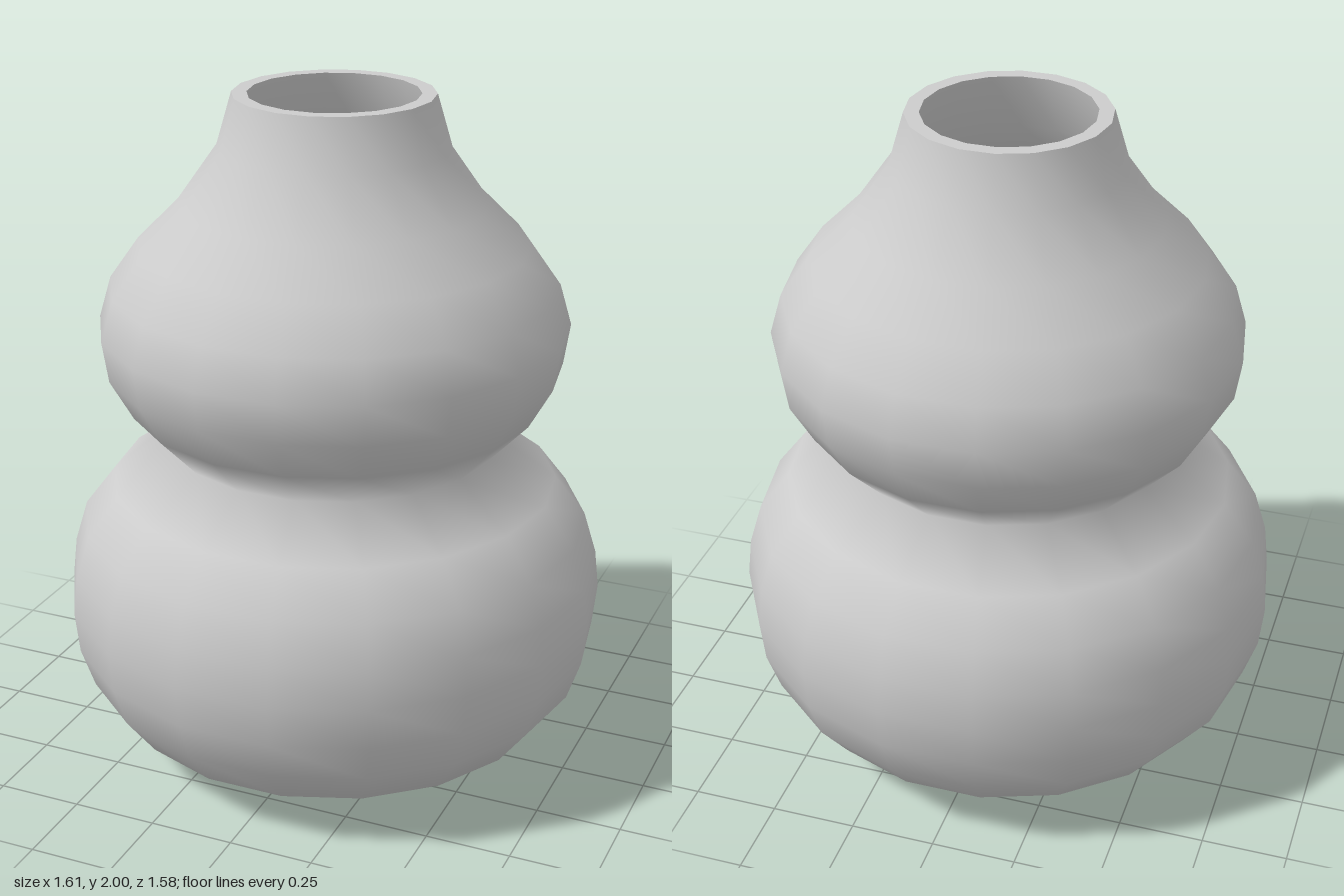
import * as THREE from 'three';

const SIDES = 18;

// Outer silhouette, foot to lip: [radius, height]
const OUTER = [
  [0.46, 0], [0.66, 0.125], [0.75, 0.245], [0.79, 0.365], [0.803, 0.49],
  [0.79, 0.605], [0.752, 0.73], [0.66, 0.85], [0.487, 0.97], [0.6, 1.09],
  [0.667, 1.21], [0.685, 1.33], [0.65, 1.45], [0.565, 1.57], [0.445, 1.69],
  [0.332, 1.85], [0.288, 2],
];
const WALL = 0.045;
const LIP = 0.245;

export function createModel() {
  const group = new THREE.Group();
  const material = new THREE.MeshStandardMaterial({ color: 0xcccccc });

  // Each profile is lathed on its own so edges between parts stay sharp
  const lathe = (name, profile) => {
    const points = profile.map(([r, y]) => new THREE.Vector2(r, y));
    const geometry = new THREE.LatheGeometry(points, SIDES, Math.PI / 2);
    const mesh = new THREE.Mesh(geometry, material);
    mesh.name = name;
    group.add(mesh);
  };

  // Inner wall: the outer profile moved inwards, running from lip to floor
  const inner = OUTER.map(([r, y], i) => {
    if (i === 0) return [r - 0.02, WALL];
    if (i === OUTER.length - 1) return [LIP, y];
    const [r0, y0] = OUTER[i - 1];
    const [r1, y1] = OUTER[i + 1];
    const length = Math.hypot(r1 - r0, y1 - y0);
    return [r - (WALL * (y1 - y0)) / length, y + (WALL * (r1 - r0)) / length];
  }).reverse();
  const floorRadius = inner[inner.length - 1][0];

  lathe('base', [[0, 0], OUTER[0]]);
  lathe('gourdBody', OUTER);
  lathe('rim', [OUTER[OUTER.length - 1], [LIP, 2]]);
  lathe('innerWall', inner);
  lathe('innerFloor', [[floorRadius, WALL], [0, WALL]]);

  return group;
}
